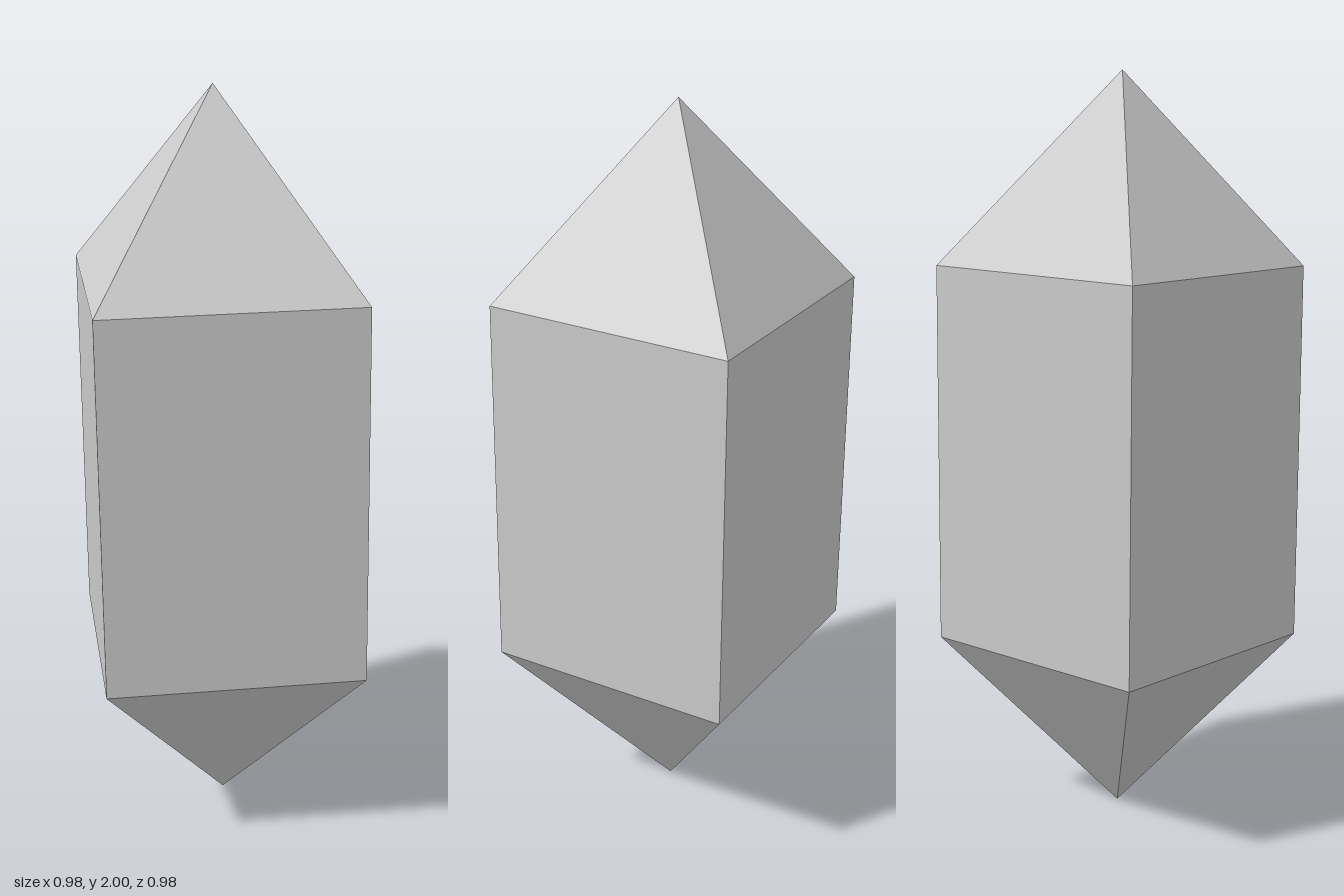
import * as THREE from 'three';

export function createModel() {
  const group = new THREE.Group();

  // Four-sided crystal: lower point, straight shaft, upper point
  const profile = [
    [0, -1], [0.486, -0.524], [0.486, 0.492], [0, 1],
  ].map(([r, y]) => new THREE.Vector2(r, y));

  const crystal = new THREE.Mesh(
    new THREE.LatheGeometry(profile, 4),
    new THREE.MeshStandardMaterial({ color: 0xcccccc, flatShading: true })
  );
  crystal.name = 'crystal';

  // Slight lean and twist
  crystal.rotation.set(0.006, -0.021, 0.0125, 'ZXY');
  crystal.position.set(-0.001, 1, 0);
  group.add(crystal);

  return group;
}
